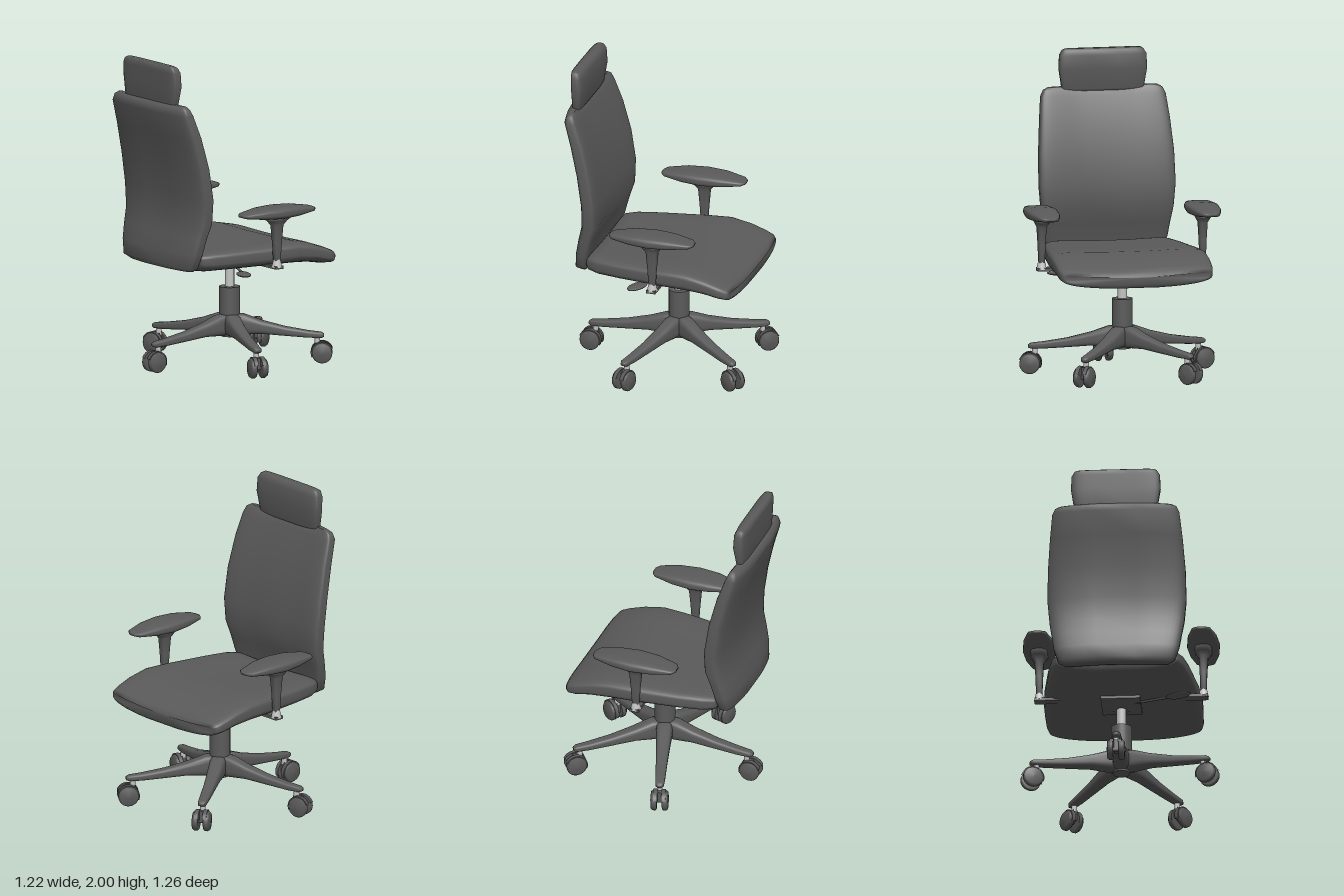
import * as THREE from 'three';

const charcoal = new THREE.MeshStandardMaterial({ color: 0x5a5a5a });
charcoal.name = 'charcoal';
const steel = new THREE.MeshStandardMaterial({ color: 0xc4c4c4 });
steel.name = 'steel';

const AXIS_X = 0.06; // column position

// Smooth closed skin over rings of points, winding fixed by signed volume
function loft(rings) {
  const n = rings[0].length, pos = [], idx = [];
  rings.forEach(r => r.forEach(p => pos.push(...p)));
  for (let i = 0; i < rings.length - 1; i++) {
    for (let j = 0; j < n; j++) {
      const a = i * n + j, b = i * n + (j + 1) % n;
      idx.push(a, b, a + n, b, b + n, a + n);
    }
  }
  [0, rings.length - 1].forEach((ri, end) => {
    const c = pos.length / 3;
    pos.push(...[0, 1, 2].map(k => rings[ri].reduce((s, p) => s + p[k], 0) / n));
    for (let j = 0; j < n; j++) {
      const a = ri * n + j, b = ri * n + (j + 1) % n;
      idx.push(...(end ? [c, a, b] : [c, b, a]));
    }
  });
  const v = i => new THREE.Vector3().fromArray(pos, i * 3);
  let volume = 0;
  for (let i = 0; i < idx.length; i += 3) {
    volume += v(idx[i]).dot(v(idx[i + 1]).cross(v(idx[i + 2])));
  }
  if (volume < 0) idx.reverse();
  const g = new THREE.BufferGeometry();
  g.setAttribute('position', new THREE.Float32BufferAttribute(pos, 3));
  g.setIndex(idx);
  g.computeVertexNormals();
  return g;
}

// Rounded-rectangle sections [station, high, low, halfWidth]; place(station, across, side, side ratio) gives a point
function cushion(sections, power, place, n = 32) {
  const soft = t => Math.sign(t) * Math.pow(Math.abs(t), power);
  return loft(sections.map(([s, hi, lo, w]) => Array.from({ length: n }, (_, i) => {
    const a = (i + 0.5) / n * Math.PI * 2, k = soft(Math.cos(a));
    return place(s, (hi + lo) / 2 + (hi - lo) / 2 * soft(Math.sin(a)), w * k, k);
  })));
}

function add(parent, name, geometry, material, x = 0, y = 0, z = 0) {
  const mesh = new THREE.Mesh(geometry, material);
  mesh.name = name;
  mesh.position.set(x, y, z);
  parent.add(mesh);
  return mesh;
}

function group(parent, name) {
  const g = new THREE.Group();
  g.name = name;
  parent.add(g);
  return g;
}

const cyl = (top, bottom, h, sides = 24) => new THREE.CylinderGeometry(top, bottom, h, sides);

function makeCaster(parent) {
  const caster = group(parent, 'caster');
  caster.position.x = 0.585;
  add(caster, 'casterStem', cyl(0.018, 0.018, 0.06, 12), steel, -0.03, 0.15, 0);
  add(caster, 'casterFork', new THREE.BoxGeometry(0.06, 0.07, 0.03), charcoal, -0.015, 0.095, 0);
  add(caster, 'casterAxle', cyl(0.015, 0.015, 0.09, 12).rotateX(Math.PI / 2), charcoal, 0, 0.065, 0);
  for (const s of [-1, 1]) {
    const rim = [[0, -0.02], [0.058, -0.02], [0.065, -0.013], [0.065, 0.005], [0.055, 0.018], [0, 0.022]];
    const wheel = new THREE.LatheGeometry(rim.map(p => new THREE.Vector2(...p)), 24);
    add(caster, 'wheel', wheel.rotateX(s * Math.PI / 2), charcoal, 0, 0.065, s * 0.037);
    // half-round hood over the inner part of each wheel
    const hood = new THREE.CylinderGeometry(0.072, 0.072, 0.026, 16, 1, false, 0, Math.PI);
    hood.rotateX(Math.PI / 2).rotateZ(Math.PI * 0.62);
    add(caster, 'casterHood', hood, charcoal, 0, 0.065, s * 0.026);
  }
}

function makeBase(parent) {
  const base = group(parent, 'base');
  base.position.x = AXIS_X;
  add(base, 'hub', cyl(0.066, 0.055, 0.16), charcoal, 0, 0.25, 0);
  add(base, 'columnSleeve', cyl(0.066, 0.066, 0.17), charcoal, 0, 0.405, 0);
  add(base, 'piston', cyl(0.03, 0.03, 0.18), steel, 0, 0.56, 0);
  const legSections = [
    [0, 0.32, 0.18, 0.052], [0.09, 0.313, 0.18, 0.052], [0.2, 0.272, 0.185, 0.045],
    [0.35, 0.232, 0.172, 0.037], [0.5, 0.205, 0.16, 0.032], [0.58, 0.195, 0.158, 0.027], [0.598, 0.185, 0.165, 0.016],
  ];
  for (let i = 0; i < 5; i++) {
    const arm = group(base, 'baseArm');
    arm.rotation.y = Math.PI + i * Math.PI * 2 / 5;
    add(arm, 'leg', cushion(legSections, 0.6, (s, y, z) => [s, y, z], 20), charcoal);
    makeCaster(arm);
  }
}

function makeArmrest(parent, side) {
  const armrest = group(parent, side > 0 ? 'leftArmrest' : 'rightArmrest');
  armrest.position.set(0.055, 0, side * 0.52);
  const pad = [
    [-0.278, 1.052, 1.035, 0.03], [-0.255, 1.06, 1.028, 0.06], [-0.13, 1.08, 1.012, 0.092], [0, 1.086, 1.005, 0.104],
    [0.13, 1.08, 1.012, 0.092], [0.255, 1.06, 1.028, 0.06], [0.278, 1.052, 1.035, 0.03],
  ];
  add(armrest, 'armPad', cushion(pad, 0.65, (s, y, z) => [s, y, z]), charcoal);
  // post flaring out under the pad: [height, +x, -x, half depth]
  const post = [[0.73, 0.022, -0.022, 0.02], [0.85, 0.03, -0.03, 0.024], [0.96, 0.04, -0.04, 0.03],
    [0.99, 0.065, -0.065, 0.045], [1.02, 0.12, -0.12, 0.06]];
  add(armrest, 'armPost', cushion(post, 0.6, (s, x, z) => [x, s, z], 20), charcoal);
  add(armrest, 'armFoot', cyl(0.022, 0.034, 0.05, 16), steel, 0, 0.715, 0);
  add(armrest, 'armBracket', new THREE.BoxGeometry(0.06, 0.02, 0.2), charcoal, 0, 0.69, -side * 0.07);
}

export function createModel() {
  const chair = new THREE.Group();
  chair.name = 'officeChair';
  makeBase(chair);

  // Seat: dished across, front edge rolled down
  const seat = [
    [-0.44, 0.76, 0.69, 0.36], [-0.42, 0.785, 0.665, 0.39], [-0.35, 0.797, 0.655, 0.42], [-0.2, 0.802, 0.655, 0.45],
    [0.1, 0.812, 0.655, 0.49], [0.25, 0.815, 0.655, 0.502], [0.4, 0.785, 0.648, 0.502], [0.5, 0.75, 0.63, 0.497],
    [0.55, 0.728, 0.627, 0.485], [0.57, 0.70, 0.65, 0.465],
  ];
  add(chair, 'seat', cushion(seat, 0.5, (s, y, z, k) =>
    [s - (s > 0.3 ? 0.02 * k ** 4 : 0), y + 0.025 * k * k, z], 40), charcoal);

  // Backrest: wraps forward at both sides, leans back towards the top
  const back = [
    [0.685, -0.47, -0.52, 0.33], [0.71, -0.455, -0.55, 0.37], [0.8, -0.435, -0.54, 0.398], [0.9, -0.41, -0.52, 0.412],
    [1.0, -0.378, -0.495, 0.427], [1.15, -0.376, -0.495, 0.44], [1.35, -0.405, -0.525, 0.436], [1.55, -0.455, -0.572, 0.42],
    [1.7, -0.51, -0.615, 0.403], [1.74, -0.53, -0.605, 0.385], [1.758, -0.55, -0.585, 0.355],
  ];
  add(chair, 'backrest', cushion(back, 0.45, (s, x, z, k) => [x + 0.028 * k * k, s, z], 40), charcoal);

  const head = [
    [1.725, -0.525, -0.56, 0.23], [1.745, -0.515, -0.575, 0.265], [1.87, -0.495, -0.582, 0.284],
    [1.96, -0.50, -0.586, 0.28], [1.99, -0.512, -0.586, 0.262], [2.0, -0.53, -0.57, 0.245],
  ];
  add(chair, 'headrest', cushion(head, 0.45, (s, x, z) => [x, s, z]), charcoal);

  // Tilt mechanism and height lever under the seat
  add(chair, 'mountPlate', new THREE.BoxGeometry(0.25, 0.025, 0.25), charcoal, AXIS_X, 0.652, 0);
  add(chair, 'mountCone', cyl(0.11, 0.05, 0.03), charcoal, AXIS_X, 0.63, 0);
  const rod = new THREE.LineCurve3(new THREE.Vector3(0.03, 0.645, 0.08), new THREE.Vector3(-0.07, 0.637, 0.32));
  add(chair, 'leverRod', new THREE.TubeGeometry(rod, 1, 0.008, 10), charcoal);
  const paddle = add(chair, 'leverPaddle', new THREE.SphereGeometry(1, 20, 10), charcoal, -0.095, 0.636, 0.37);
  paddle.scale.set(0.045, 0.014, 0.085);
  paddle.rotation.y = -0.4;

  for (const side of [-1, 1]) makeArmrest(chair, side);
  return chair;
}
